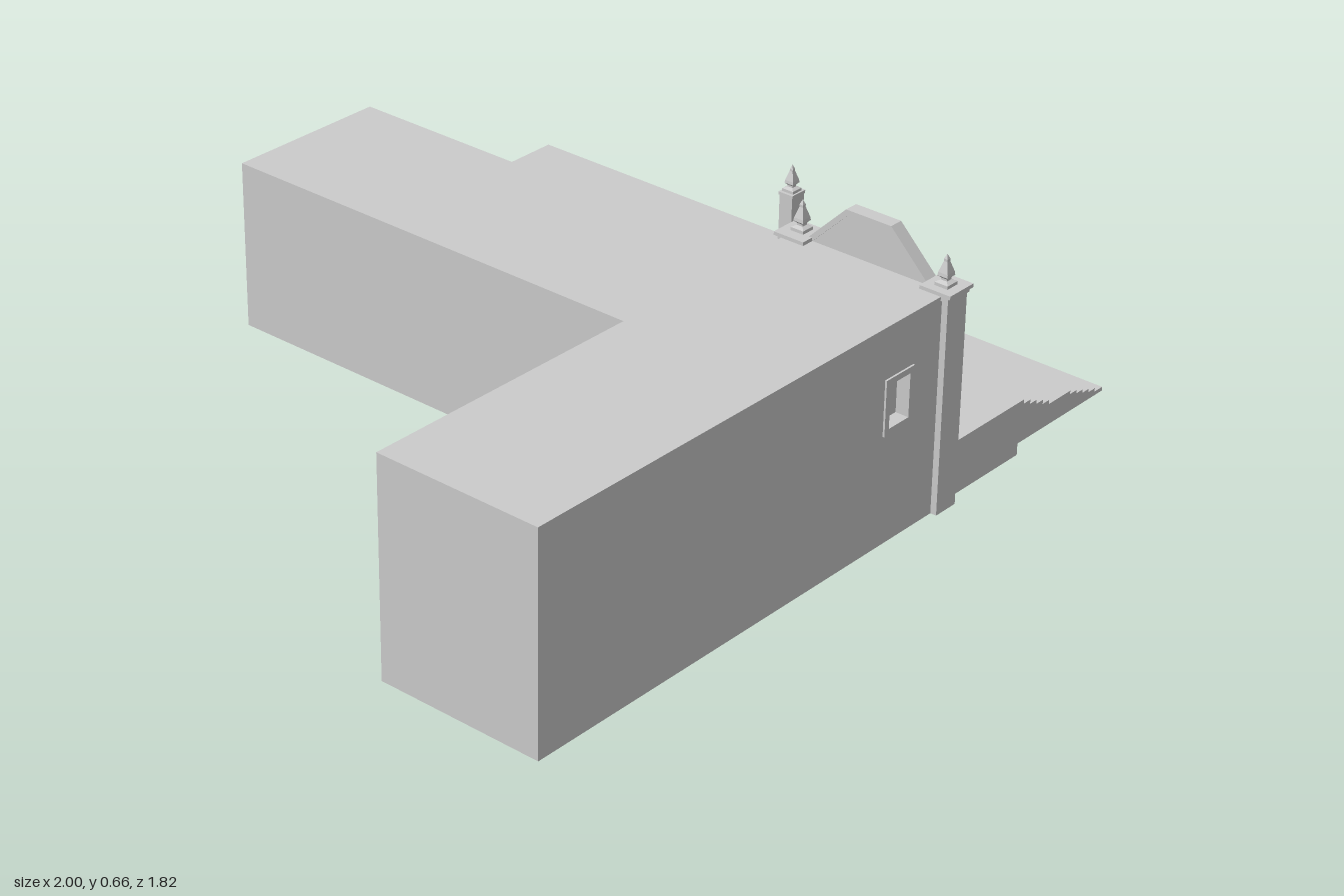
import * as THREE from 'three';

const mat = new THREE.MeshStandardMaterial({ color: 0xcccccc, flatShading: true });

export function createModel() {
  const root = new THREE.Group();
  root.name = 'missionChurch';

  const add = (name, geometry) => {
    const m = new THREE.Mesh(geometry, mat);
    m.name = name;
    root.add(m);
    return m;
  };
  // Box given by its limits on each axis
  const box = (name, x0, x1, y0, y1, z0, z1) =>
    add(name, new THREE.BoxGeometry(x1 - x0, y1 - y0, z1 - z0)
      .translate((x0 + x1) / 2, (y0 + y1) / 2, (z0 + z1) / 2));
  const poly = (pts) => new THREE.Shape(pts.map(([a, b]) => new THREE.Vector2(a, b)));
  const rect = (x0, x1, y0, y1) => poly([[x0, y0], [x1, y0], [x1, y1], [x0, y1]]);
  const extrude = (shape, depth) =>
    new THREE.ExtrudeGeometry(shape, { depth, bevelEnabled: false, curveSegments: 10 });
  // Shape drawn in (-z, y), extruded from x0 to x1
  const extrudeX = (name, shape, x0, x1) =>
    add(name, extrude(shape, x1 - x0).rotateY(Math.PI / 2).translate(x0, 0, 0));
  // Shape drawn in (x, y), extruded from z0 to z1
  const extrudeZ = (name, shape, z0, z1) =>
    add(name, extrude(shape, z1 - z0).translate(0, 0, z0));
  // Square finial turned from a half-width profile
  const finial = (name, x, y, z, s = 1) => {
    const profile = [[0.018, 0], [0.018, 0.008], [0.008, 0.013], [0.008, 0.018],
      [0.014, 0.024], [0.013, 0.032], [0.005, 0.058], [0.005, 0.064], [0, 0.076]];
    const pts = profile.map(([r, h]) => new THREE.Vector2(r * Math.SQRT2 * s, h * s));
    add(name, new THREE.LatheGeometry(pts, 4).rotateY(Math.PI / 4).translate(x, y, z));
  };

  // Nave with a window opening in its long wall
  box('nave', -1, 0.34, 0, 0.55, 0.44, 0.85);
  const wall = rect(-1, 0.34, 0, 0.55);
  wall.holes.push(rect(0.135, 0.205, 0.295, 0.405));
  extrudeZ('naveWall', wall, 0.85, 0.88);
  const frame = rect(0.12, 0.22, 0.28, 0.42);
  frame.holes.push(rect(0.135, 0.205, 0.295, 0.405));
  extrudeZ('windowFrame', frame, 0.875, 0.885);

  // Side wing and terraces
  box('wing', -0.08, 0.36, 0, 0.44, -0.91, 0.44);
  box('upperTerrace', 0.36, 0.66, 0, 0.14, -0.88, 0.87);
  box('lowerTerrace', 0.66, 0.99, 0, 0.125, -0.88, 0.18);

  // Stairs: two flights with a landing between them
  const stair = [[0.66, 0.03], [1, 0.03]];
  const steps = [];
  const flight = (x, y, run, rise, n) => {
    for (let i = 0; i < n; i++) {
      steps.push([x + i * run, y - i * rise], [x + i * run, y - (i + 1) * rise]);
    }
  };
  flight(0.675, 0.14, 0.026, 0.011, 5);
  flight(0.865, 0.085, 0.026, 0.009, 5);
  steps.push([1, 0.04]);
  extrudeZ('stairs', poly([...stair, ...steps.reverse(), [0.66, 0.14]]), 0.18, 0.87);

  // Lamp pillar and low pier beside the stairs
  box('stairPillar', 0.66, 0.705, 0.12, 0.435, 0.152, 0.19);
  box('stairPillarCap', 0.658, 0.707, 0.435, 0.443, 0.15, 0.192);
  finial('stairPillarFinial', 0.682, 0.443, 0.171, 0.9);
  box('stairPier', 0.94, 1, 0.02, 0.205, 0.125, 0.185);

  // Gabled entrance front with arched doorway
  const zc = 0.658;
  const gable = [[-0.87, 0], [-0.45, 0], [-0.45, 0.55], [-0.485, 0.55],
    [-0.595, 0.66], [-0.72, 0.66], [-0.83, 0.55], [-0.87, 0.55]];
  const arch = (shape, r, y0, y1) => {
    shape.moveTo(-zc - r, y0);
    shape.lineTo(-zc + r, y0);
    shape.lineTo(-zc + r, y1);
    shape.absarc(-zc, y1, r, 0, Math.PI, false);
    shape.lineTo(-zc - r, y0);
    return shape;
  };
  const front = poly(gable);
  front.holes.push(arch(new THREE.Path(), 0.052, 0.14, 0.275));
  extrudeX('entranceFront', front, 0.336, 0.363);
  const coping = poly([[-0.485, 0.55], [-0.595, 0.66], [-0.72, 0.66], [-0.83, 0.55],
    [-0.812, 0.55], [-0.715, 0.646], [-0.6, 0.646], [-0.503, 0.55]]);
  extrudeX('gableCoping', coping, 0.334, 0.37);

  // Double doors set back in the arch
  for (const s of [-1, 1]) {
    const z = zc + s * 0.0265;
    box('doorLeaf', 0.34, 0.347, 0.14, 0.275, z - 0.0255, z + 0.0255);
  }
  const surround = arch(new THREE.Shape(), 0.058, 0.14, 0.275);
  surround.holes.push(arch(new THREE.Path(), 0.051, 0.14, 0.275));
  extrudeX('doorSurround', surround, 0.36, 0.368);

  // Doorway columns, entablature and small spires
  for (const s of [-1, 1]) {
    const z = zc + s * 0.082;
    box('doorColumnBase', 0.36, 0.388, 0.14, 0.19, z - 0.013, z + 0.013);
    add('doorColumn', new THREE.CylinderGeometry(0.008, 0.01, 0.165, 10).translate(0.374, 0.2725, z));
    box('doorColumnCapital', 0.36, 0.386, 0.352, 0.365, z - 0.012, z + 0.012);
    add('doorSpire', new THREE.CylinderGeometry(0.003, 0.009, 0.045, 4, 1)
      .rotateY(Math.PI / 4).translate(0.374, 0.4075, z));
  }
  box('entablature', 0.36, 0.386, 0.363, 0.373, zc - 0.1, zc + 0.1);
  box('entablatureCornice', 0.36, 0.392, 0.373, 0.386, zc - 0.109, zc + 0.109);

  // Corner pilasters with stepped caps and finials
  for (const [z, reach] of [[0.461, 0], [0.863, 0.008]]) {
    box('pilaster', 0.315, 0.385, 0, 0.54, z - 0.033, z + 0.033);
    box('pilasterNeck', 0.31, 0.385 + reach / 2, 0.54, 0.55, z - 0.037, z + 0.037);
    box('pilasterCap', 0.302 + reach, 0.387 + reach, 0.55, 0.559, z - 0.042, z + 0.042);
    finial('pilasterFinial', 0.35, 0.559, z);
  }
  return root;
}
